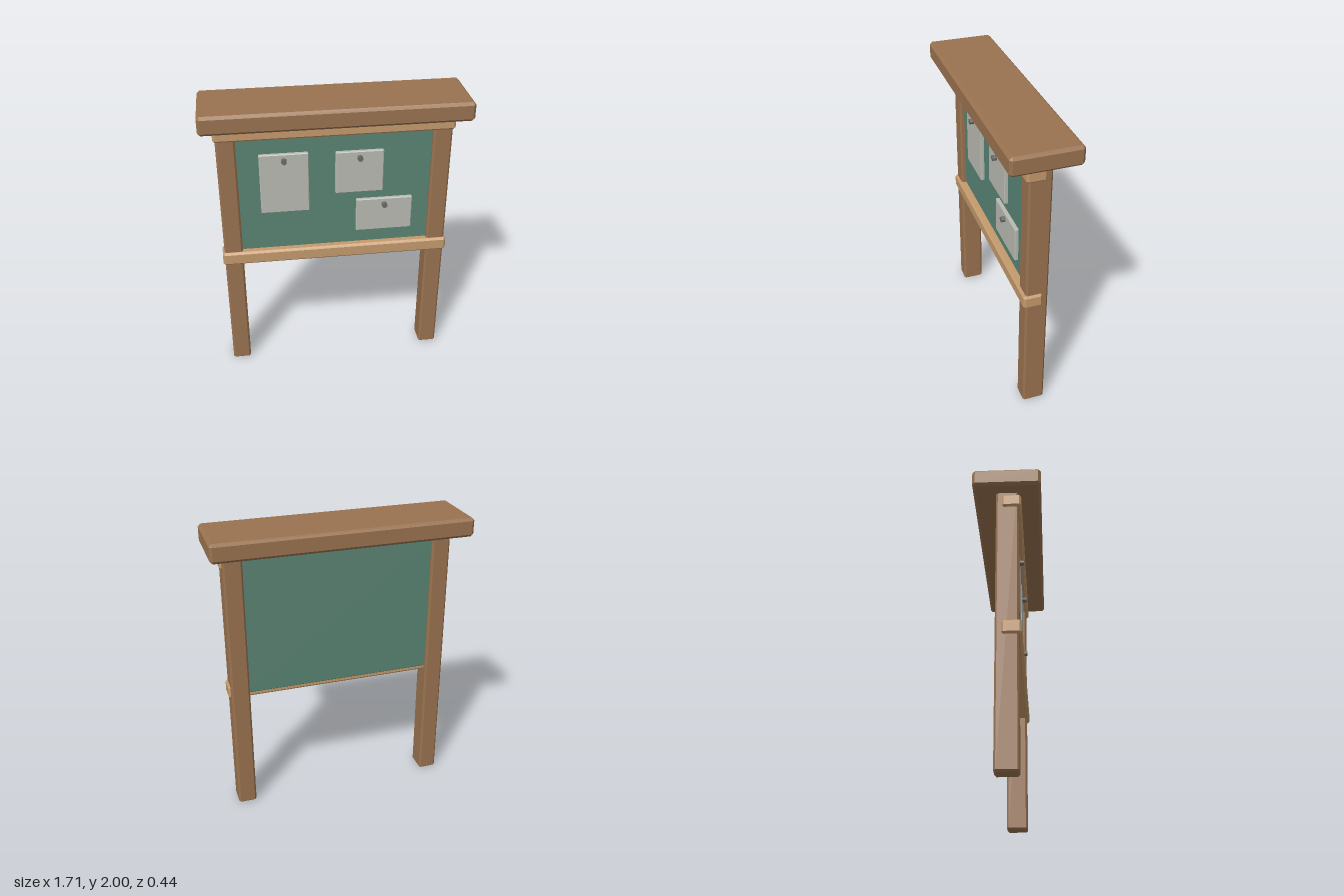
import * as THREE from 'three';
import { ConvexGeometry } from 'three/addons/geometries/ConvexGeometry.js';

const paint = (color) => new THREE.MeshStandardMaterial({ color, flatShading: true });

// Box from min/max extents with every edge chamfered by c
function chamferBox(name, [x0, x1], [y0, y1], [z0, z1], c, material) {
  const half = [(x1 - x0) / 2, (y1 - y0) / 2, (z1 - z0) / 2];
  const points = [];
  for (const sx of [-1, 1]) for (const sy of [-1, 1]) for (const sz of [-1, 1]) {
    for (let axis = 0; axis < 3; axis++) {
      const [x, y, z] = half.map((h, i) => (i === axis ? h : h - c));
      points.push(new THREE.Vector3(sx * x, sy * y, sz * z));
    }
  }
  const mesh = new THREE.Mesh(new ConvexGeometry(points), material);
  mesh.position.set((x0 + x1) / 2, (y0 + y1) / 2, (z0 + z1) / 2);
  mesh.name = name;
  return mesh;
}

export function createModel() {
  const model = new THREE.Group();
  model.name = 'noticeBoard';
  const wood = paint(0x9a7350);
  const paleWood = paint(0xc49a6c);
  const green = paint(0x5a8474);
  const paper = paint(0xb8bab2);
  const metal = paint(0x6a6c68);

  // Posts and cap
  model.add(chamferBox('rightPost', [-0.76, -0.635], [0, 1.89], [-0.072, 0.075], 0.012, wood));
  model.add(chamferBox('leftPost', [0.635, 0.76], [0, 1.89], [-0.072, 0.075], 0.012, wood));
  model.add(chamferBox('roofCap', [-0.853, 0.853], [1.875, 2], [-0.222, 0.222], 0.018, wood));

  // Board panel between the posts
  model.add(chamferBox('boardPanel', [-0.66, 0.66], [0.88, 1.83], [-0.045, 0.042], 0.006, green));

  // Front rails
  model.add(chamferBox('lowerRail', [-0.773, 0.773], [0.845, 0.94], [-0.035, 0.092], 0.014, paleWood));
  model.add(chamferBox('upperRail', [-0.773, 0.773], [1.765, 1.857], [-0.035, 0.092], 0.014, paleWood));

  // Pinned notices
  const notices = [
    { x: [-0.495, -0.175], y: [1.225, 1.65], pin: [-0.335, 1.607] },
    { x: [0, 0.317], y: [1.34, 1.64], pin: [0.158, 1.597] },
    { x: [0.14, 0.52], y: [1.038, 1.28], pin: [0.328, 1.238] },
  ];
  for (const { x, y, pin } of notices) {
    const notice = new THREE.Group();
    notice.name = 'notice';
    notice.add(chamferBox('noticeSheet', x, y, [0.036, 0.066], 0.005, paper));
    const head = new THREE.Mesh(new THREE.CylinderGeometry(0.018, 0.018, 0.04, 10), metal);
    head.rotation.x = Math.PI / 2;
    head.position.set(...pin, 0.075);
    head.name = 'pin';
    notice.add(head);
    model.add(notice);
  }
  return model;
}
